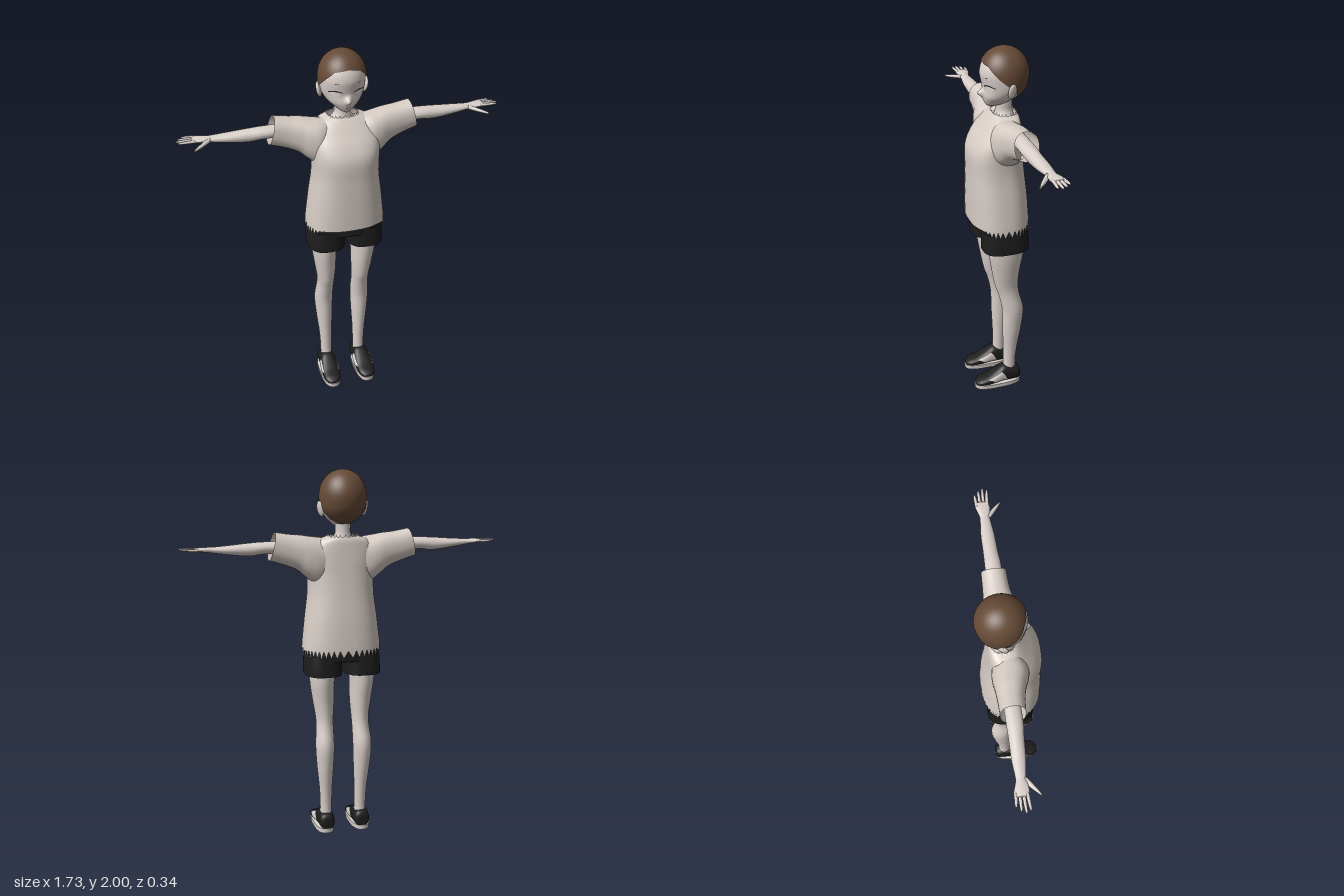
import * as THREE from 'three';
import { toCreasedNormals } from 'three/addons/utils/BufferGeometryUtils.js';

const mat = (name, color, side = THREE.FrontSide) => {
  const m = new THREE.MeshStandardMaterial({ color, side });
  m.name = name;
  return m;
};

// Grid surface from f(u, v); wrapped grids are closed around u and turned to face outward
function surface(f, nu, nv, wrap = true) {
  const cols = wrap ? nu : nu + 1, pos = [], idx = [];
  for (let j = 0; j <= nv; j++)
    for (let i = 0; i < cols; i++) pos.push(...f(i / nu, j / nv, i, j));
  for (let j = 0; j < nv; j++)
    for (let i = 0; i < nu; i++) {
      const a = j * cols + i, b = j * cols + (i + 1) % cols;
      idx.push(a, b, b + cols, a, b + cols, a + cols);
    }
  const g = new THREE.BufferGeometry();
  g.setAttribute('position', new THREE.Float32BufferAttribute(pos, 3));
  g.setIndex(idx);
  if (wrap) {
    g.computeBoundingBox();
    const c = g.boundingBox.getCenter(new THREE.Vector3());
    const p = k => new THREE.Vector3().fromArray(pos, idx[k] * 3).sub(c);
    let volume = 0;
    for (let k = 0; k < idx.length; k += 3) volume += p(k).dot(p(k + 1).cross(p(k + 2)));
    if (volume < 0) flip(g);
  }
  g.computeVertexNormals();
  return g;
}

function flip(g) {
  const ix = g.index.array;
  for (let k = 0; k < ix.length; k += 3) [ix[k], ix[k + 1]] = [ix[k + 1], ix[k]];
}

function mirrored(g) {
  const m = g.clone().scale(-1, 1, 1);
  flip(m);
  m.computeVertexNormals();
  return m;
}

// Catmull-Rom blend of profile rows
function sample(rows, t) {
  const n = rows.length - 1, s = Math.min(n - 1, Math.floor(t * n)), w = t * n - s;
  const r = k => rows[Math.max(0, Math.min(n, k))];
  return rows[0].map((_, c) => {
    const [a, b, d, e] = [r(s - 1)[c], r(s)[c], r(s + 1)[c], r(s + 2)[c]];
    return b + 0.5 * w * (d - a + w * (2 * a - 5 * b + 4 * d - e + w * (3 * (b - d) + e - a)));
  });
}

// Point on a limb; row = [position on axis, middle, half width, high, low]
function limbPoint(axis, rows, p, t, a, shrink = 1) {
  const [s, mid, half, hi, lo] = sample(rows, t);
  const pw = v => Math.sign(v) * Math.abs(v) ** (2 / p);
  const w = mid + half * shrink * pw(Math.sin(a));
  const h = (hi + lo) / 2 + (hi - lo) / 2 * shrink * pw(Math.cos(a));
  return axis === 'y' ? [w, s, h] : axis === 'x' ? [s, h, w] : [w, h, s];
}

function limb(axis, rows, { p = 2, nu = 28, nv = 24, cap = true, tweak } = {}) {
  const extra = cap ? 1 : 0, total = nv + 2 * extra;
  return surface((u, v, i, j) => {
    const t = Math.max(0, Math.min(1, (j - extra) / nv));
    const shrink = cap && (j === 0 || j === total) ? 0 : 1;
    const q = limbPoint(axis, rows, p, t, u * Math.PI * 2, shrink);
    if (tweak) tweak(q, u * Math.PI * 2, i, j, t);
    return q;
  }, nu, total);
}

// Head profile: [height, half width, front, back]; a half ellipsoid above 1.86
const HEAD = [[1.685, 0, 0.045, 0.03], [1.70, 0.034, 0.062, -0.03], [1.72, 0.058, 0.074, -0.075],
  [1.75, 0.09, 0.081, -0.118], [1.79, 0.112, 0.078, -0.146], [1.83, 0.119, 0.086, -0.157], [1.86, 0.12, 0.092, -0.16]];

function headRow(y, off = 0) {
  let lo = 0, hi = 1;
  for (let k = 0; k < 22; k++) {
    const m = (lo + hi) / 2;
    if (sample(HEAD, m)[0] < y) lo = m; else hi = m;
  }
  const [, rx, zf, zb] = sample(HEAD, lo);
  const k = y > 1.86 ? Math.sqrt(Math.max(0, 1 - ((y - 1.86) / (0.134 + off)) ** 2)) : 1;
  return [(rx + off) * k, (zf + zb) / 2, ((zf - zb) / 2 + off) * k];
}
const nose = (x, y) => 0.03 * Math.exp(-((x / 0.014) ** 2) - ((y - 1.765) / 0.018) ** 2);

function headPoint(y, a, off) {
  const [rx, cz, rz] = headRow(y, off);
  const x = rx * Math.sin(a);
  return [x, y, cz + rz * Math.cos(a) + (Math.cos(a) > 0 ? nose(x, y) : 0)];
}

// Thin plate that follows the face
const facePlate = (x0, x1, low, high, off) => surface((u, v) => {
  const x = x0 + (x1 - x0) * u, y = low(u) + (high(u) - low(u)) * v, [rx, cz, rz] = headRow(y);
  return [x, y, cz + rz * Math.sqrt(Math.max(0, 1 - (x / rx) ** 2)) + nose(x, y) + off];
}, 10, 3, false);

const HAIRLINE = [[0, 1.93], [0.19, 1.918], [0.3, 1.882], [0.4, 1.845], [0.5, 1.812], [0.58, 1.79], [0.68, 1.745], [0.82, 1.72], [1, 1.71]];
function hairline(a) {
  const s = Math.min(1, Math.abs(a > Math.PI ? a - 2 * Math.PI : a) / Math.PI);
  const k = Math.max(1, HAIRLINE.findIndex(r => r[0] >= s));
  const [s0, y0] = HAIRLINE[k - 1], [s1, y1] = HAIRLINE[k];
  return y0 + (y1 - y0) * (s - s0) / (s1 - s0);
}

export function createModel() {
  const model = new THREE.Group();
  const D = THREE.DoubleSide;
  const skin = mat('skin', 0xd9cfca), hairMat = mat('hair brown', 0x664a36);
  const cloth = mat('shirt cloth', 0xd6ccc5, D), black = mat('black cloth', 0x1d1d1e, D);
  const light = mat('shoe trim', 0xdcd4cf, D), white = mat('eye white', 0xf2f0ee, D), dark = mat('lash', 0x2b2423, D);
  const add = (name, g, m) => {
    const mesh = new THREE.Mesh(g, m);
    mesh.name = name;
    model.add(mesh);
  };
  const pair = (name, g, m, finish = x => x) => {
    add(name + 'Left', finish(g), m);
    add(name + 'Right', finish(mirrored(g)), m);
  };

  // Head, hair and neck
  add('head', surface((u, v) => headPoint(1.685 + 0.309 * (1 - Math.cos(Math.PI * v)) / 2, u * Math.PI * 2, 0), 80, 56), skin);
  add('hair', surface((u, v) => {
    const a = u * Math.PI * 2, h = hairline(a);
    return headPoint(h + (2 - h) * Math.sin(v * Math.PI / 2), a, 0.006);
  }, 72, 28), hairMat);
  add('neck', limb('y', [[1.56, 0, 0.1, 0.03, -0.09], [1.62, 0, 0.07, 0.018, -0.088], [1.66, 0, 0.043, 0.012, -0.08],
    [1.70, 0, 0.04, 0.01, -0.078], [1.75, 0, 0.042, 0.01, -0.08]]), skin);
  const ear = new THREE.SphereGeometry(1, 20, 14).scale(0.013, 0.042, 0.027);
  pair('ear', ear.rotateZ(-0.2).rotateY(0.45).translate(0.121, 1.797, -0.04), skin);

  // Face details
  pair('eye', facePlate(0.034, 0.088, u => 1.806 - 0.017 * Math.sin(Math.PI * u), u => 1.81 + 0.008 * Math.sin(Math.PI * u), 0.002), white);
  pair('lash', facePlate(0.03, 0.093, u => 1.808 + 0.008 * Math.sin(Math.PI * u), u => 1.813 + 0.01 * Math.sin(Math.PI * u), 0.004), dark);
  pair('brow', facePlate(0.05, 0.066, () => 1.859, () => 1.862, 0.002), dark);
  add('mouth', facePlate(-0.012, 0.012, () => 1.724, () => 1.7265, 0.002), dark);

  // Shirt with ragged hem and collar
  const shirtRows = [[1.05, 0, 0.213, 0.165, -0.155], [1.2, 0, 0.196, 0.166, -0.145], [1.34, 0, 0.178, 0.165, -0.13],
    [1.45, 0, 0.178, 0.164, -0.12], [1.52, 0, 0.182, 0.135, -0.115], [1.58, 0, 0.175, 0.09, -0.11],
    [1.63, 0, 0.135, 0.05, -0.105], [1.652, 0, 0.08, 0.03, -0.096]];
  add('shirtBody', limb('y', shirtRows, { p: 2.5, nu: 88, nv: 36, cap: false, tweak(q, a, i, j) {
    if (j === 0 && i % 2) q[1] -= 0.04 * THREE.MathUtils.smoothstep(0.8 - Math.cos(a), 0, 0.45);
    if (j === 36 && i % 4 === 0) q[1] += 0.014;
  } }), cloth);
  pair('sleeve', limb('x', [[0.06, -0.02, 0.07, 1.635, 1.42], [0.13, -0.01, 0.093, 1.645, 1.40], [0.18, -0.014, 0.09, 1.652, 1.435],
    [0.23, -0.02, 0.078, 1.66, 1.478], [0.3, -0.025, 0.068, 1.667, 1.508], [0.382, -0.027, 0.064, 1.68, 1.533]],
  { p: 2.3, nu: 36, cap: false, tweak(q, a, i, j, t) { q[0] -= (q[1] - 1.605) * 0.24 * t; } }), cloth);

  // Shorts
  add('shortsWaist', limb('y', [[0.985, 0, 0.203, 0.12, -0.13], [1.04, 0, 0.2, 0.12, -0.128], [1.1, 0, 0.175, 0.115, -0.115]], { p: 2.6, nu: 40 }), black);
  pair('shortsLeg', limb('y', [[0.905, 0.107, 0.1, 0.12, -0.134], [0.95, 0.107, 0.1, 0.12, -0.132], [1.02, 0.103, 0.1, 0.118, -0.128]],
    { p: 2.7, nu: 36, nv: 8, cap: false }), black);

  // Legs
  pair('leg', limb('y', [[0.07, 0.098, 0.033, 0, -0.075], [0.15, 0.098, 0.032, -0.005, -0.074], [0.25, 0.1, 0.035, -0.003, -0.085],
    [0.38, 0.104, 0.045, 0.002, -0.106], [0.5, 0.106, 0.051, 0.005, -0.115], [0.6, 0.102, 0.047, 0.026, -0.092],
    [0.66, 0.101, 0.048, 0.046, -0.086], [0.75, 0.105, 0.058, 0.064, -0.092], [0.87, 0.112, 0.067, 0.083, -0.11],
    [1.0, 0.108, 0.075, 0.09, -0.115]], { nv: 44 }), skin);

  // Arms and hands
  pair('arm', limb('x', [[0.12, -0.03, 0.04, 1.63, 1.56], [0.4, -0.025, 0.042, 1.632, 1.568], [0.5, -0.027, 0.038, 1.628, 1.56],
    [0.6, -0.03, 0.035, 1.62, 1.57], [0.69, -0.032, 0.026, 1.614, 1.583], [0.72, -0.033, 0.03, 1.614, 1.588],
    [0.76, -0.037, 0.038, 1.613, 1.592], [0.785, -0.04, 0.035, 1.611, 1.594]], { nv: 40 }), skin);
  [0.832, 0.853, 0.865, 0.855].forEach((tip, k) => {
    const z = -0.066 + k * 0.018, end = -0.071 + k * 0.022, mid = (0.77 + tip) / 2;
    pair('finger' + (k + 1), limb('x', [[0.765, z, 0.009, 1.611, 1.595], [mid, (z + end) / 2, 0.0085, 1.611, 1.597],
      [tip - 0.008, end, 0.006, 1.61, 1.6], [tip, end, 0.002, 1.607, 1.603]], { nu: 10, nv: 10 }), skin);
  });
  pair('thumb', limb('x', [[0.695, -0.015, 0.014, 1.611, 1.588], [0.73, 0.01, 0.015, 1.604, 1.582],
    [0.76, 0.035, 0.011, 1.597, 1.579], [0.785, 0.056, 0.004, 1.59, 1.578]], { nu: 12, nv: 12 }), skin);

  // Shoes with soles and pale side panels
  const shoe = [[-0.098, 0.1, 0.024, 0.08, 0.018], [-0.085, 0.1, 0.04, 0.104, 0.018], [-0.04, 0.1, 0.044, 0.115, 0.018],
    [0, 0.1, 0.045, 0.12, 0.018], [0.04, 0.101, 0.049, 0.098, 0.018], [0.09, 0.103, 0.05, 0.07, 0.018],
    [0.14, 0.104, 0.043, 0.054, 0.018], [0.165, 0.104, 0.02, 0.038, 0.018]];
  const panelRows = shoe.map(([z, x, w, hi, lo]) => [z, x, w + 0.003, hi + 0.002, lo]);
  pair('shoe', limb('z', shoe, { p: 2.5, nu: 32, nv: 32 }), black);
  pair('sole', limb('y', [[0, 0.103, 0.051, 0.168, -0.1], [0.026, 0.103, 0.053, 0.17, -0.102]], { p: 2.7, nu: 40, nv: 2 }),
    light, g => toCreasedNormals(g, 0.7));
  for (const s of [1, -1])
    pair(s > 0 ? 'outerPanel' : 'innerPanel', surface((u, v) => {
      const t = 0.36 + 0.24 * u + 0.14 * (1 - v);
      return limbPoint('z', panelRows, 2.5, t, s * (2.1 - 1.15 * (1 - v)));
    }, 12, 10, false), light);
  return model;
}
